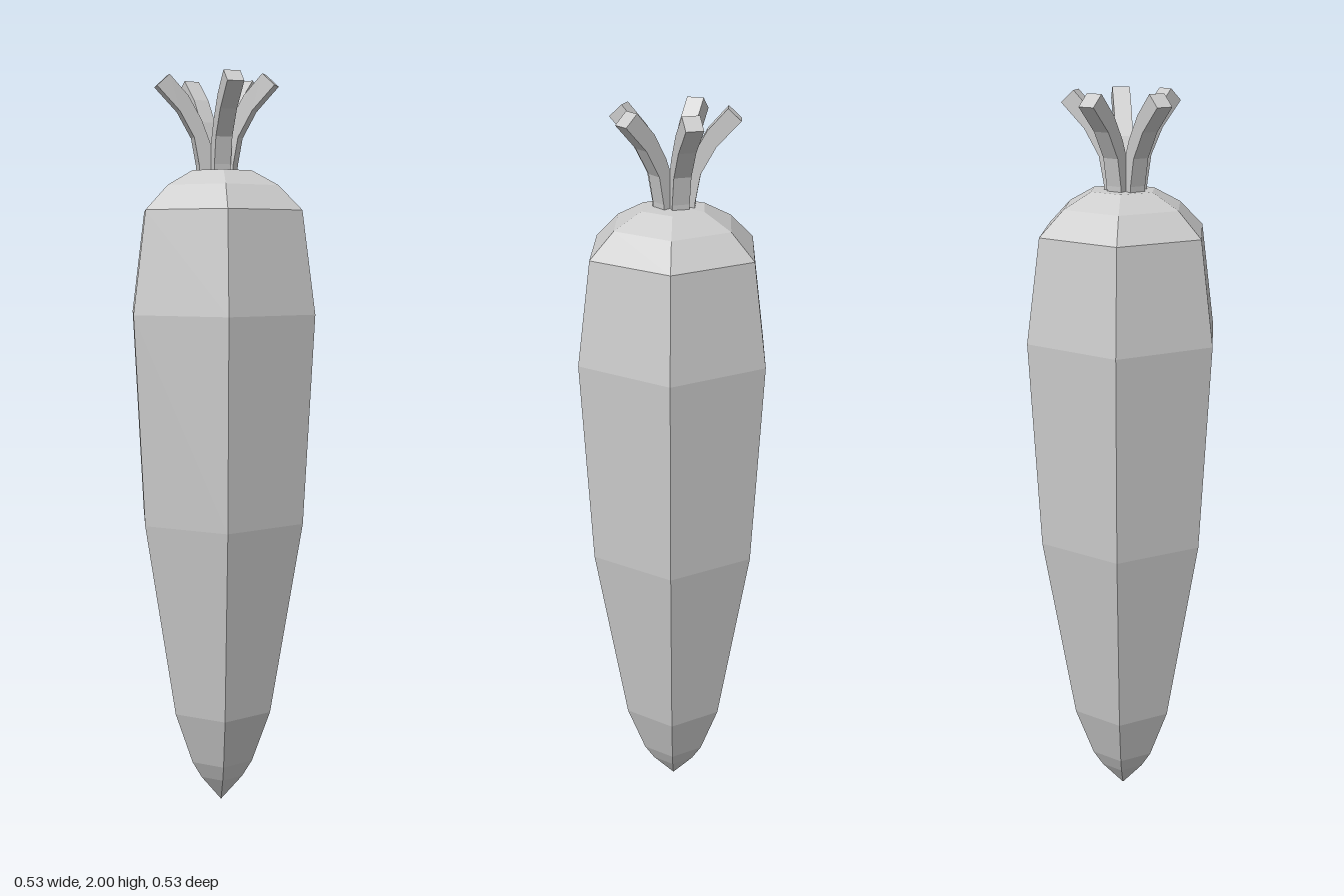
import * as THREE from 'three';

export function createModel() {
  const group = new THREE.Group();
  group.name = 'carrot';
  const material = new THREE.MeshStandardMaterial({ color: 0xcccccc, flatShading: true });

  // Six-sided tapered root, profile from tip to crown
  const profile = [
    [0, 0], [0.066, 0.08], [0.096, 0.13], [0.151, 0.28], [0.244, 0.82], [0.274, 1.38],
    [0.235, 1.65], [0.167, 1.715], [0.09, 1.755], [0, 1.76],
  ].map(([r, y]) => new THREE.Vector2(r, y));
  const root = new THREE.Mesh(new THREE.LatheGeometry(profile, 6, -0.233), material);
  root.name = 'root';
  group.add(root);

  // One square stalk bending outward, drawn in its side profile
  const width = 0.045;
  const stalkShape = new THREE.Shape([
    [0.005, 1.74], [0.05, 1.74], [0.052, 1.77], [0.065, 1.84], [0.103, 1.907], [0.163, 1.97],
    [0.13, 2.0], [0.08, 1.946], [0.045, 1.885], [0.016, 1.81],
  ].map(([x, y]) => new THREE.Vector2(x, y)));
  const stalkGeometry = new THREE.ExtrudeGeometry(stalkShape, { depth: width, bevelEnabled: false });
  stalkGeometry.translate(0, 0, -width / 2);

  // Stalks fanned around the crown
  const stalks = new THREE.Group();
  stalks.name = 'stalks';
  stalks.position.x = -0.012;
  [90, 34, -35, -104, -175].forEach((degrees, i) => {
    const stalk = new THREE.Mesh(stalkGeometry, material);
    stalk.name = `stalk${i + 1}`;
    stalk.rotation.y = -THREE.MathUtils.degToRad(degrees);
    stalks.add(stalk);
  });
  group.add(stalks);

  return group;
}
